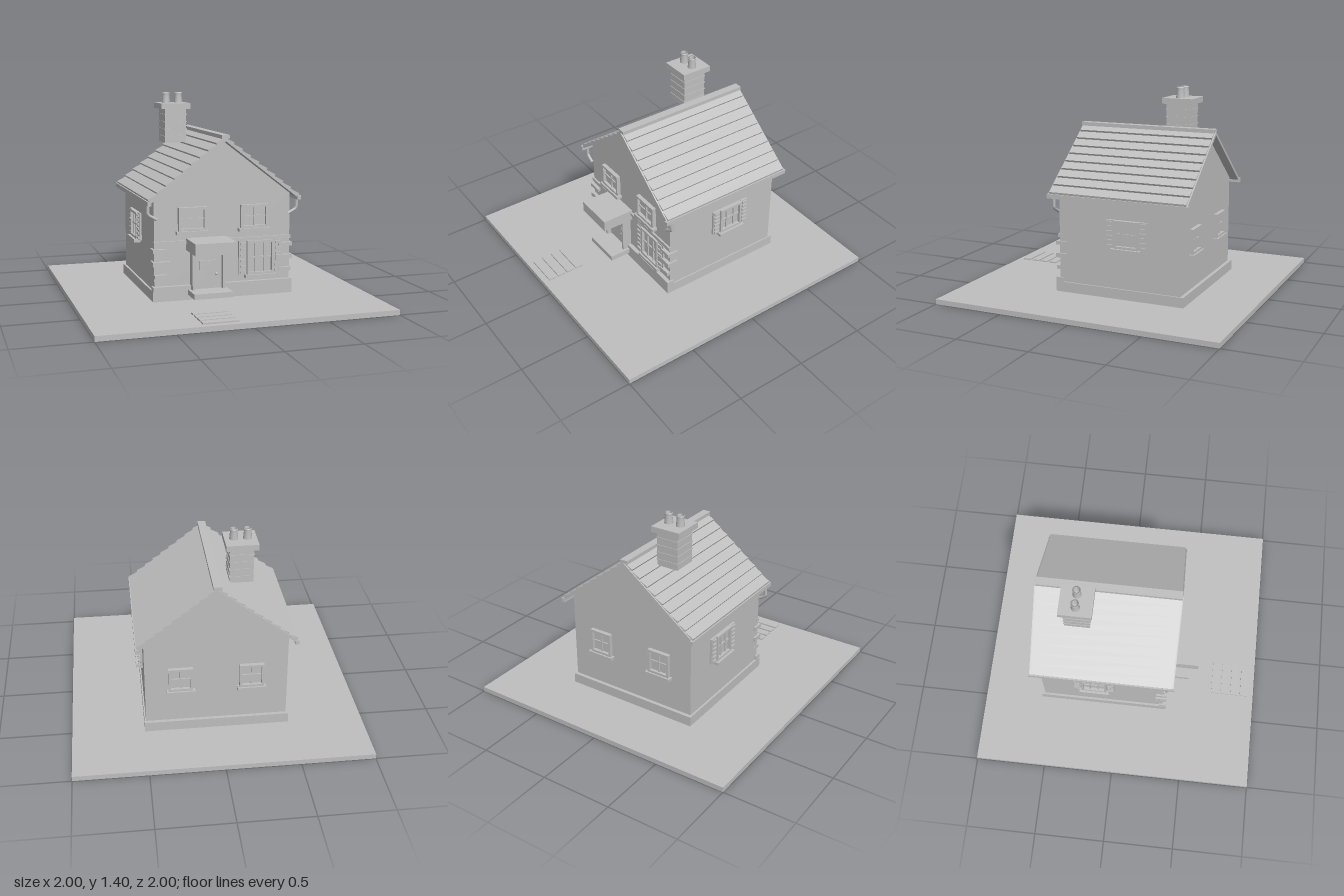
import * as THREE from 'three';

const stone = new THREE.MeshStandardMaterial({ color: 0xbfbfbf });
stone.name = 'plain grey';
const CX = 0.012; // centre line of the house

function add(parent, name, geo) {
  const m = new THREE.Mesh(geo, stone);
  m.name = name;
  parent.add(m);
  return m;
}

// Box given by its extents on each axis
function box(parent, name, x0, x1, y0, y1, z0, z1) {
  const m = add(parent, name, new THREE.BoxGeometry(x1 - x0, y1 - y0, z1 - z0));
  m.position.set((x0 + x1) / 2, (y0 + y1) / 2, (z0 + z1) / 2);
  return m;
}

// Outline in x and y, extruded from z0 to z1
function prism(parent, name, pts, z0, z1) {
  const shape = new THREE.Shape(pts.map(p => new THREE.Vector2(p[0], p[1])));
  const m = add(parent, name, new THREE.ExtrudeGeometry(shape, { depth: z1 - z0, bevelEnabled: false }));
  m.position.z = z0;
  return m;
}

// Window on the plane z = 0 facing +z, bottom centre at the origin
function makeWindow(name, w, h, cols, rows, shutter = 0, sillOut = 0.04) {
  const g = new THREE.Group();
  g.name = name;
  const t = 0.016, d = 0.028, a = w / 2;
  box(g, 'pane', -a, a, 0, h, -0.004, 0.006);
  for (const s of [-1, 1]) box(g, 'frameSide', s * (a - t / 2) - t / 2, s * (a - t / 2) + t / 2, 0, h, 0, d);
  box(g, 'frameTop', -a + t, a - t, h - t, h, 0, d);
  box(g, 'frameBottom', -a + t, a - t, 0, t, 0, d);
  for (let i = 1; i < cols; i++) {
    const x = -a + (w * i) / cols;
    box(g, 'mullion', x - 0.005, x + 0.005, t, h - t, 0, 0.016);
  }
  for (let i = 1; i < rows; i++) {
    const y = (h * i) / rows;
    box(g, 'glazingBar', -a + t, a - t, y - 0.005, y + 0.005, 0, 0.015);
  }
  box(g, 'sill', -a - 0.015, a + 0.015, -0.022, 0, 0, sillOut);
  // Louvred shutters
  if (shutter) for (const s of [-1, 1]) {
    const c = s * (a + shutter / 2 + 0.002), b = shutter / 2;
    box(g, 'shutter', c - b, c + b, 0, h, 0, 0.016);
    for (let i = 0; i < 6; i++) {
      const y = h * (i + 0.5) / 6;
      box(g, 'shutterSlat', c - b + 0.008, c + b - 0.008, y - 0.008, y + 0.008, 0.012, 0.026);
    }
  }
  return g;
}

function place(parent, obj, x, y, z, ry = 0) {
  obj.position.set(x, y, z);
  obj.rotation.y = ry;
  parent.add(obj);
}

export function createModel() {
  const house = new THREE.Group();
  house.name = 'house';

  // Ground plate and path slabs
  box(house, 'ground', -1, 1, 0, 0.035, -1, 1);
  for (let i = 0; i < 4; i++) {
    const z = 0.683 + i * 0.0725;
    box(house, 'pathSlab', -0.32, -0.085, 0.03, 0.045, z, z + 0.056);
  }

  // Plinth, gabled walls and floor band
  box(house, 'plinth', -0.485, 0.505, 0.034, 0.105, -0.58, 0.35);
  box(house, 'frontPlinth', -0.483, 0.505, 0.04, 0.135, 0.3, 0.353);
  prism(house, 'walls', [[-0.47, 0.09], [0.495, 0.09], [0.495, 0.73], [CX, 1.1], [-0.47, 0.73]], -0.555, 0.325);
  box(house, 'floorBand', -0.473, 0.498, 0.415, 0.44, 0.31, 0.338);

  // Corner stones
  for (const s of [-1, 1]) {
    [[0.19, 0.216, 0.085, 0], [0.275, 0.305, 0.108, 0.012], [0.365, 0.39, 0.085, 0.012]].forEach(([y0, y1, len, out]) => {
      const outer = CX + s * (0.484 + out), inner = CX + s * (0.484 - len);
      box(house, 'cornerStone', Math.min(outer, inner), Math.max(outer, inner), y0, y1, 0.27, 0.35);
    });
  }

  // Roof slopes: slab, overlapping tile courses, gutter and swan-neck pipe
  const line = (d, base) => base - 0.77 * d;
  for (const s of [-1, 1]) {
    const at = (d, y) => [CX + s * d, y];
    prism(house, 'roofSlab', [at(0, 1.104), at(0, 1.126), at(0.53, line(0.53, 1.126)), at(0.53, line(0.53, 1.104))], -0.615, 0.385);
    const pts = [at(0, 1.115)];
    for (let i = 0; i < 9; i++) {
      const a = i * 0.0585, b = a + 0.0585;
      pts.push(at(a, line(a, 1.127)), at(b + 0.006, line(b, 1.139)));
    }
    pts.push(at(0.5265, line(0.5265, 1.115)));
    prism(house, 'roofTiles', pts, -0.606, 0.376);
    const g = CX + s * 0.526;
    box(house, 'gutter', g - 0.013, g + 0.013, 0.69, 0.72, -0.622, 0.392);
    const path = new THREE.CurvePath();
    const p = [[0.526, 0.7], [0.526, 0.635], [0.515, 0.62], [0.468, 0.593]].map(q => new THREE.Vector3(CX + s * q[0], q[1], 0.342));
    for (let i = 0; i < 3; i++) path.add(new THREE.LineCurve3(p[i], p[i + 1]));
    add(house, 'drainPipe', new THREE.TubeGeometry(path, 24, 0.011, 8));
  }
  box(house, 'ridge', CX - 0.028, CX + 0.028, 1.12, 1.145, -0.61, 0.382);

  // Chimney with brick courses, cap and hollow pots
  const chimney = new THREE.Group();
  chimney.name = 'chimney';
  house.add(chimney);
  box(chimney, 'stack', -0.25, -0.092, 1.05, 1.3, -0.385, -0.213);
  for (let i = 0; i < 4; i++) {
    const y = 1.09 + i * 0.052;
    box(chimney, 'brickCourse', -0.254, -0.088, y, y + 0.007, -0.389, -0.209);
  }
  box(chimney, 'cap', -0.28, -0.065, 1.29, 1.33, -0.412, -0.19);
  const pot = [[0.03, 0], [0.024, 0.06], [0.028, 0.062], [0.028, 0.075], [0.02, 0.075], [0.02, 0.01], [0, 0.01]];
  for (const x of [-0.218, -0.127]) {
    add(chimney, 'chimneyPot', new THREE.LatheGeometry(pot.map(q => new THREE.Vector2(q[0], q[1])), 16))
      .position.set(x, 1.33, -0.301);
  }

  // Front door, canopy and step
  const door = new THREE.Group();
  door.name = 'frontDoor';
  house.add(door);
  box(door, 'doorLeaf', -0.205, -0.005, 0.1, 0.36, 0.31, 0.36);
  for (const x of [-0.222, -0.009]) box(door, 'doorPost', x, x + 0.018, 0.1, 0.376, 0.31, 0.393);
  box(door, 'doorLintel', -0.205, -0.008, 0.358, 0.376, 0.31, 0.393);
  box(door, 'doorWindow', -0.167, -0.052, 0.24, 0.302, 0.35, 0.37);
  const knob = add(door, 'doorKnob', new THREE.SphereGeometry(0.01, 12, 8));
  knob.position.set(-0.048, 0.207, 0.367);
  box(door, 'doorCanopy', -0.25, 0.033, 0.375, 0.455, 0.31, 0.555);
  box(door, 'doorStep', -0.243, 0.027, 0.072, 0.108, 0.31, 0.505);

  // Windows on all four sides
  place(house, makeWindow('upperWindow', 0.195, 0.16, 2, 2), -0.208, 0.505, 0.325);
  place(house, makeWindow('upperWindow', 0.195, 0.16, 2, 2), 0.23, 0.505, 0.325);
  place(house, makeWindow('frontWindow', 0.195, 0.235, 3, 2, 0.056), 0.276, 0.18, 0.325);
  for (const x of [0.255, -0.225])
    place(house, makeWindow('backWindow', 0.165, 0.17, 2, 2), x, 0.352, -0.555, Math.PI);
  place(house, makeWindow('sideWindow', 0.18, 0.19, 3, 2, 0.056, 0.045), 0.495, 0.387, -0.176, Math.PI / 2);
  place(house, makeWindow('sideWindow', 0.18, 0.19, 3, 2, 0.056, 0.045), -0.47, 0.387, -0.176, -Math.PI / 2);

  // The mirrored roof slopes reverse some outlines; extrusion restores their winding
  return house;
}
